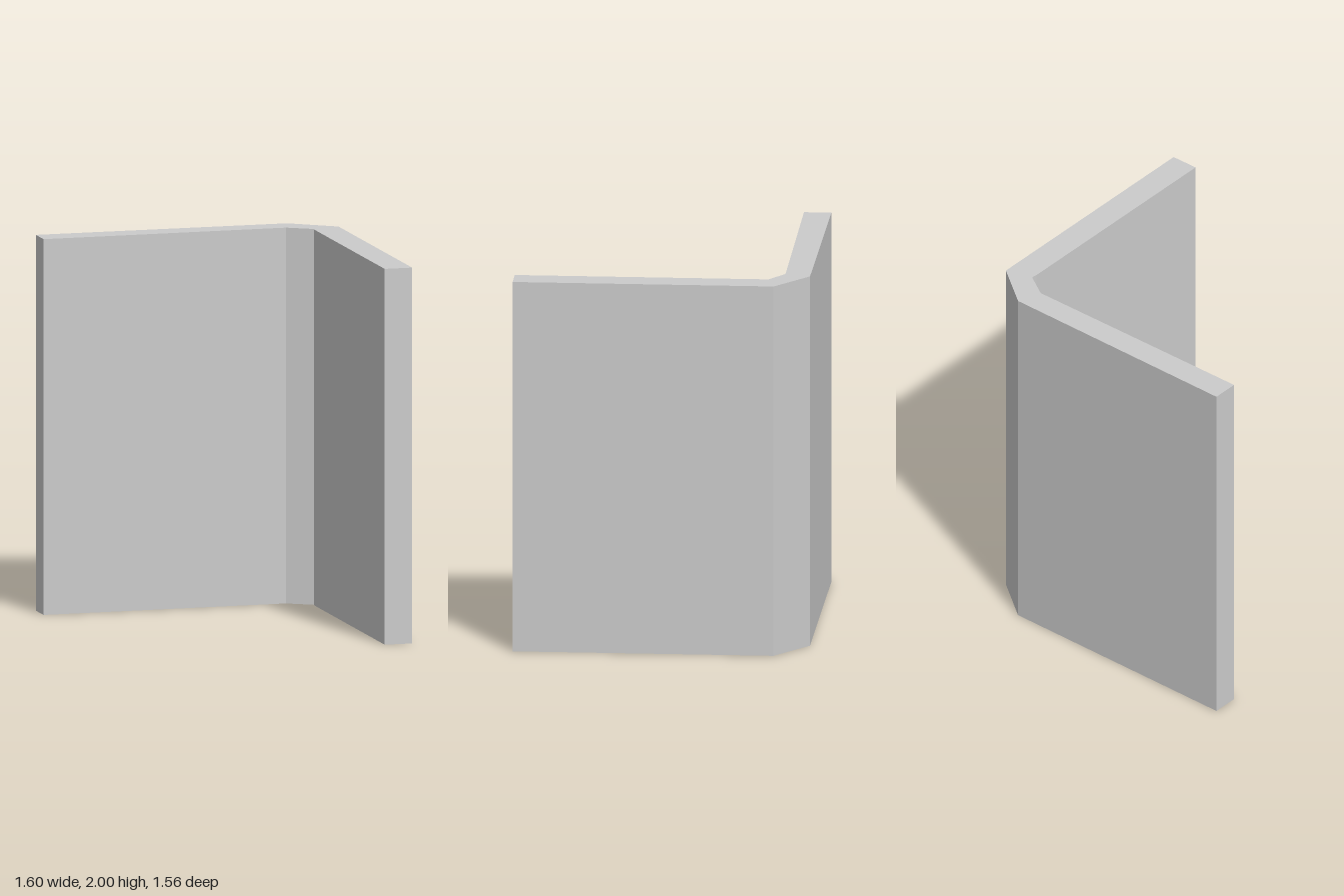
import * as THREE from 'three';

const HEIGHT = 2;

// Plan of the L-shaped wall as [x, z]: outer side, then back along the inner side
const PLAN = [
  [-0.8, -0.783], [0.57, -0.768], [0.8, -0.592], [0.8, 0.781],
  [0.65, 0.781], [0.65, -0.52], [0.654, -0.553], [0.525, -0.636], [-0.8, -0.639],
];

// Upright faces along the closed plan, one flat quad per edge
function wallFaces(plan, height) {
  const positions = [];
  plan.forEach(([ax, az], i) => {
    const [bx, bz] = plan[(i + 1) % plan.length];
    positions.push(
      ax, 0, az, ax, height, az, bx, height, bz,
      ax, 0, az, bx, height, bz, bx, 0, bz,
    );
  });
  const geometry = new THREE.BufferGeometry();
  geometry.setAttribute('position', new THREE.Float32BufferAttribute(positions, 3));
  geometry.computeVertexNormals();
  return geometry;
}

export function createModel() {
  const group = new THREE.Group();
  group.name = 'cornerWall';
  const material = new THREE.MeshStandardMaterial({
    color: 0xcccccc, flatShading: true, side: THREE.DoubleSide,
  });

  // Hollow shell, open underneath
  const walls = new THREE.Mesh(wallFaces(PLAN, HEIGHT), material);
  walls.name = 'wallFaces';

  // Flat cap along the top edge
  const shape = new THREE.Shape(PLAN.map(([x, z]) => new THREE.Vector2(x, -z)));
  const capGeometry = new THREE.ShapeGeometry(shape);
  capGeometry.rotateX(-Math.PI / 2).translate(0, HEIGHT, 0);
  const cap = new THREE.Mesh(capGeometry, material);
  cap.name = 'topCap';

  group.add(walls, cap);
  return group;
}
